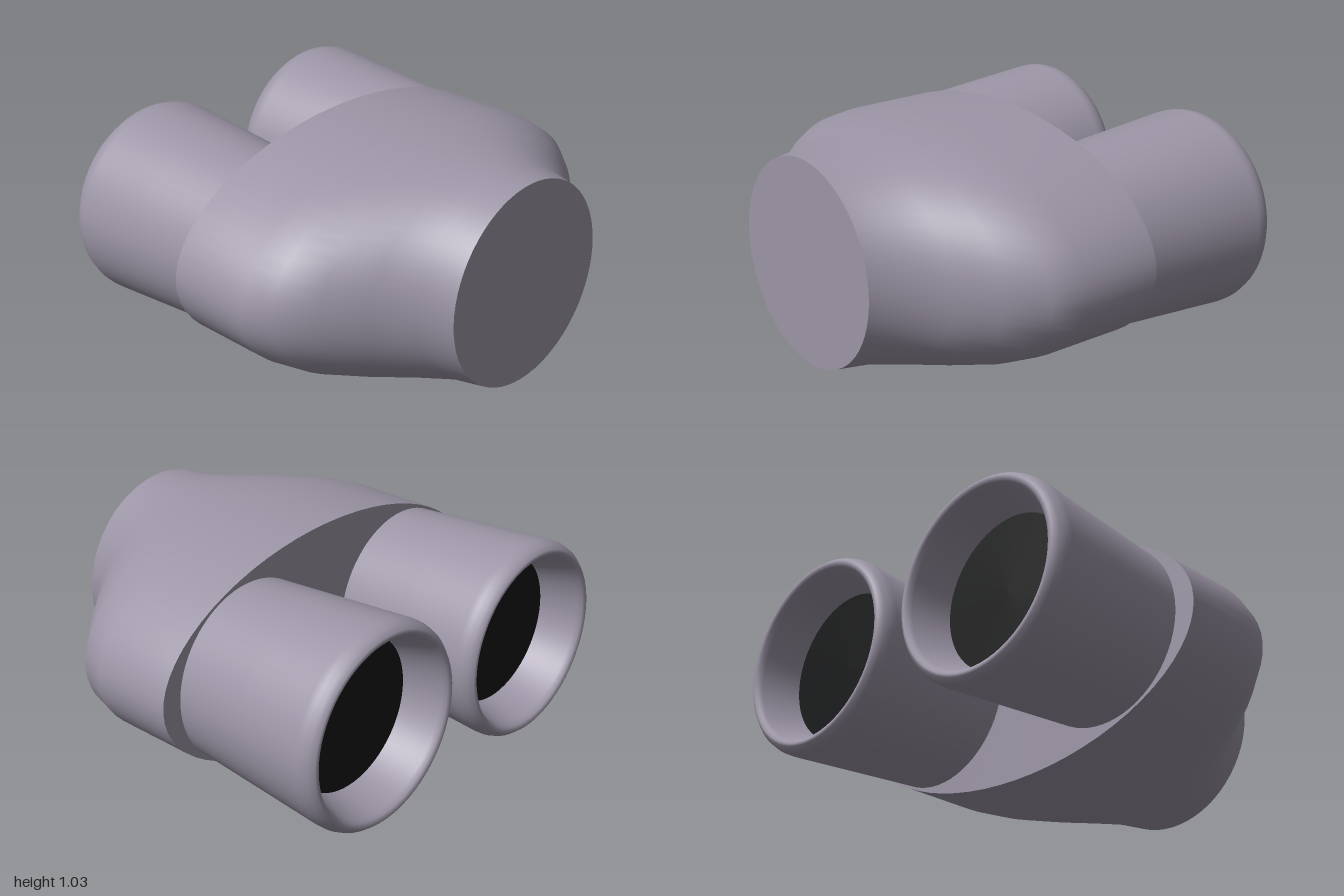
import * as THREE from 'three';
import { toCreasedNormals } from 'three/addons/utils/BufferGeometryUtils.js';

const CENTER_Y = 0.515;

// Elliptical sections of the body, back to front: [z, half width, half height]
const SECTIONS = [
  [-0.15, 1.0, 0.515],
  [0.24, 1.0, 0.515],
  [0.375, 0.957, 0.509],
  [0.51, 0.825, 0.498],
  [0.64, 0.67, 0.482],
  [0.77, 0.525, 0.467],
  [0.905, 0.46, 0.46],
];

// Outer wall, rounded lip and flared inner wall of a barrel: [radius, distance to the back]
const BARREL_PROFILE = [
  [0.405, 0.15], [0.43, 0.5], [0.453, 0.82], [0.452, 0.85], [0.443, 0.88],
  [0.425, 0.902], [0.412, 0.905], [0.398, 0.897], [0.388, 0.875], [0.365, 0.8], [0.34, 0.71],
];

// A capped cylinder whose rings are stretched to the sections
function makeBodyGeometry() {
  const rows = SECTIONS.length - 1;
  const geometry = new THREE.CylinderGeometry(1, 1, 1, 64, rows);
  geometry.rotateX(Math.PI / 2);
  const p = geometry.attributes.position;
  for (let i = 0; i < p.count; i++) {
    const [z, rx, ry] = SECTIONS[Math.round((p.getZ(i) + 0.5) * rows)];
    p.setXYZ(i, p.getX(i) * rx, p.getY(i) * ry, z);
  }
  return toCreasedNormals(geometry, 0.8);
}

export function createModel() {
  const model = new THREE.Group();
  const shell = new THREE.MeshStandardMaterial({ color: 0x9c95a6 });
  const dark = new THREE.MeshStandardMaterial({ color: 0x151617 });

  const body = new THREE.Mesh(makeBodyGeometry(), shell);
  body.name = 'body';
  body.position.y = CENTER_Y;
  model.add(body);

  // Two open barrels at the back, each closed inside by a dark disc
  const barrelGeometry = new THREE.LatheGeometry(
    BARREL_PROFILE.map(([r, y]) => new THREE.Vector2(r, y)), 64);
  barrelGeometry.rotateX(-Math.PI / 2);
  const discGeometry = new THREE.CircleGeometry(0.34, 64);
  discGeometry.rotateY(Math.PI);

  for (const [side, sign] of [['left', 1], ['right', -1]]) {
    const eyepiece = new THREE.Group();
    eyepiece.name = side + 'Eyepiece';
    eyepiece.position.set(sign * 0.5, CENTER_Y, 0);

    const barrel = new THREE.Mesh(barrelGeometry, shell);
    barrel.name = side + 'Barrel';
    const lens = new THREE.Mesh(discGeometry, dark);
    lens.name = side + 'Lens';
    lens.position.z = -0.71;

    eyepiece.add(barrel, lens);
    model.add(eyepiece);
  }
  return model;
}
